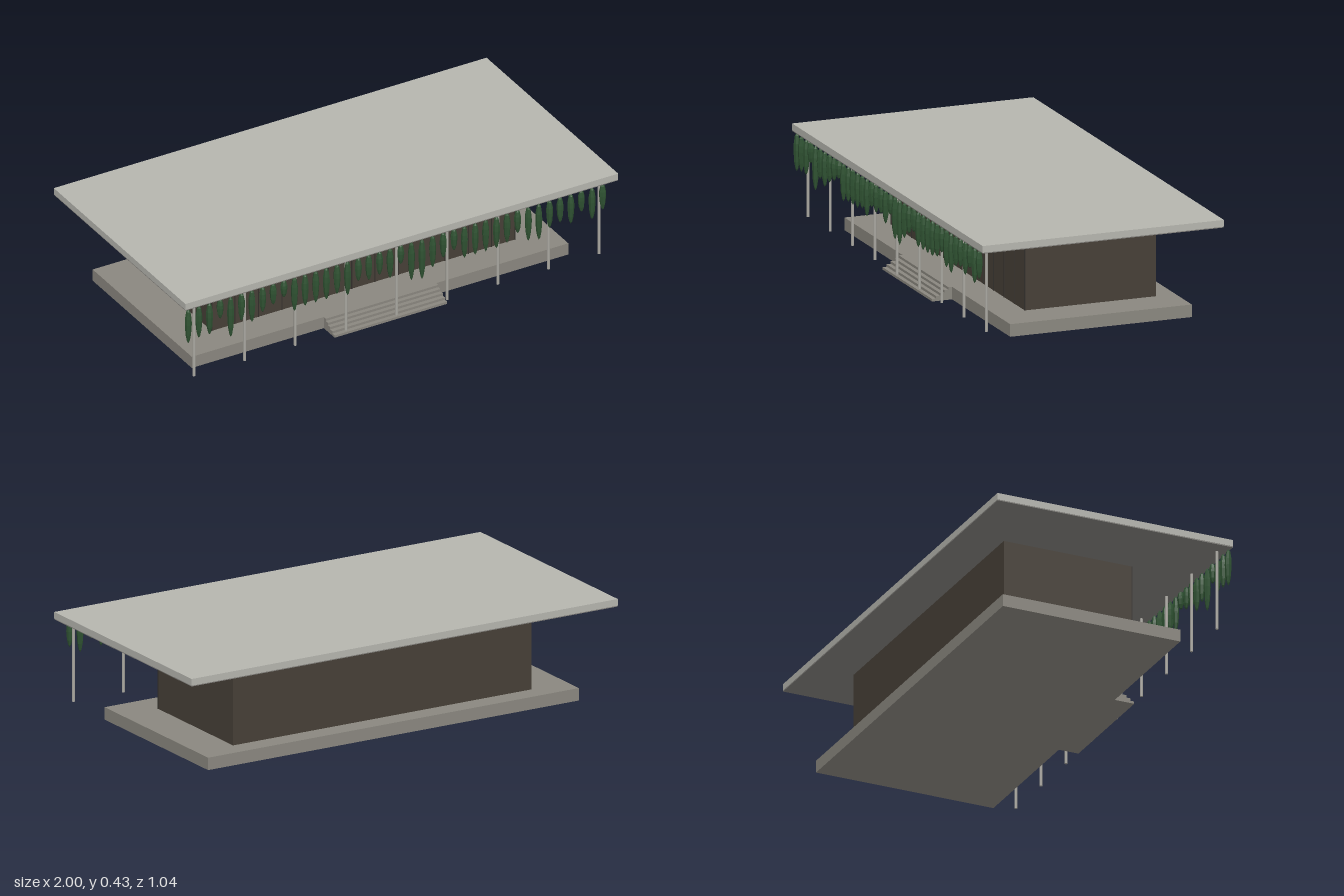
import * as THREE from 'three';

const mat = (name, color, extra = {}) => {
  const m = new THREE.MeshStandardMaterial({ color, ...extra });
  m.name = name;
  return m;
};

export function createModel() {
  const model = new THREE.Group();
  model.name = 'pavilion';
  const roofConcrete = mat('roof concrete', 0xb5b5ae);
  const stone = mat('plinth stone', 0x8a877f);
  const soffitGrey = mat('soffit grey', 0x83817d);
  const wallBrown = mat('wall brown', 0x463f37);
  const mullionDark = mat('mullion dark', 0x35322e);
  const columnGrey = mat('column grey', 0xaaa8a1);
  const leafGreen = mat('leaf green', 0x2f5232, { flatShading: true });

  const add = (name, geometry, material, parent = model) => {
    const mesh = new THREE.Mesh(geometry, material);
    mesh.name = name;
    parent.add(mesh);
    return mesh;
  };
  // box given by its lower and upper limits
  const box = (name, material, x0, x1, y0, y1, z0, z1, parent) => {
    const mesh = add(name, new THREE.BoxGeometry(x1 - x0, y1 - y0, z1 - z0), material, parent);
    mesh.position.set((x0 + x1) / 2, (y0 + y1) / 2, (z0 + z1) / 2);
    return mesh;
  };
  const group = (name) => {
    const g = new THREE.Group();
    g.name = name;
    model.add(g);
    return g;
  };

  // main volumes
  box('plinth', stone, -0.87, 0.87, 0, 0.052, -0.435, 0.348);
  box('hall', wallBrown, -0.7, 0.7, 0.052, 0.375, -0.35, 0.215);
  box('roof', roofConcrete, -1, 1, 0.398, 0.426, -0.52, 0.52);
  box('soffit', soffitGrey, -0.999, 0.999, 0.394, 0.398, -0.519, 0.519);

  // front steps
  const steps = group('steps');
  for (let i = 0; i < 5; i++) {
    box('step', stone, -0.26, 0.26, i * 0.0104, (i + 1) * 0.0104, 0.345, 0.434 - i * 0.0175, steps);
  }

  // thin dividers on the front wall
  const dividers = group('dividers');
  for (let i = 0; i <= 13; i++) {
    const x = -0.7 + (i * 1.4) / 13;
    box('divider', mullionDark, x - 0.0015, x + 0.0015, 0.052, 0.375, 0.213, 0.218, dividers);
  }

  // colonnade along the front edge
  const colonnade = group('colonnade');
  const shaft = new THREE.CylinderGeometry(0.006, 0.006, 0.344, 12);
  for (let i = -4; i <= 4; i++) {
    add('column', shaft, columnGrey, colonnade).position.set(i * 0.234, 0.224, 0.478);
  }

  // hanging plants: tapered pods of varying length under the roof edge
  const plants = group('hangingPlants');
  const profile = [[0, -1], [0.4, -0.93], [0.78, -0.75], [1, -0.45], [0.95, -0.28], [0.6, -0.08], [0, 0]]
    .map(([r, y]) => new THREE.Vector2(r, y));
  const pod = new THREE.LatheGeometry(profile, 7);
  const lengths = [16, 15, 15, 9, 19, 13, 15, 12, 10, 8, 16, 15, 15, 15, 14, 16, 11, 12, 11, 14,
    9, 18, 19, 15, 12, 10, 15, 15, 15, 15, 14, 11, 16, 17, 13, 12, 14, 10, 15, 12];
  lengths.forEach((length, i) => {
    const plant = add('hangingPlant', pod, leafGreen, plants);
    plant.position.set(-0.98 + i * 0.0491, 0.392, 0.508);
    plant.scale.set(0.0145, length / 100, 0.0145);
    plant.rotation.y = i * 1.3;
  });

  return model;
}
